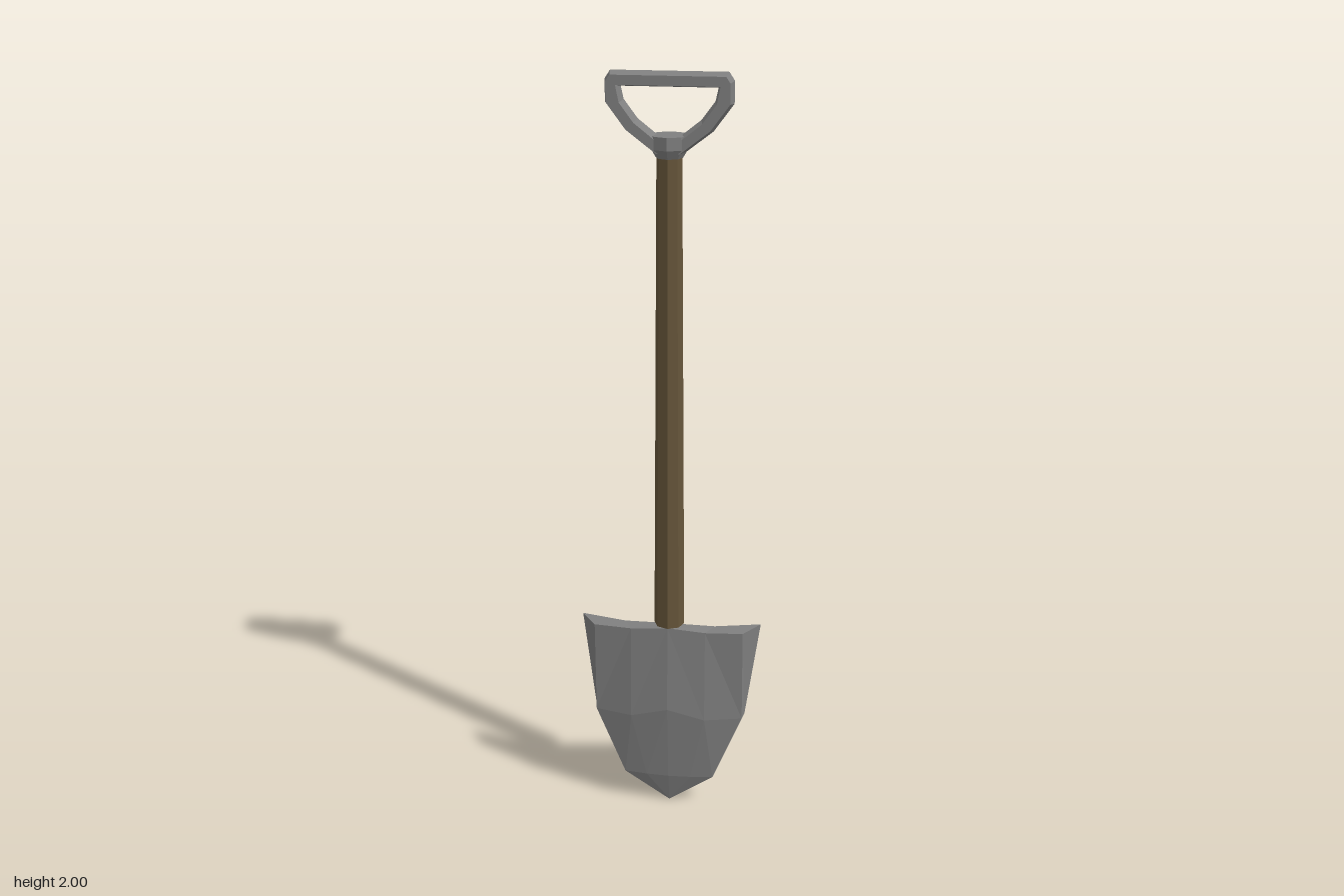
import * as THREE from 'three';

const metal = new THREE.MeshStandardMaterial({ color: 0x808080, flatShading: true });
const wood = new THREE.MeshStandardMaterial({ color: 0x66553a, flatShading: true });

function addPart(group, name, geometry, material) {
  const mesh = new THREE.Mesh(geometry, material);
  mesh.name = name;
  group.add(mesh);
  return mesh;
}

// Closed blade: each row is a ring of five front points and five back points
function bladeGeometry() {
  // front: [half width, z centre, z middle, z edge], back likewise
  const rows = [
    { y: 0.55, rise: 0.01, front: [0.199, 0.036, 0.031, 0.022], back: [0.242, 0.006, -0.011, -0.039] },
    { y: 0.285, rise: 0.03, front: [0.2, 0.045, 0.036, 0.012], back: [0.205, 0.018, 0.006, -0.015] },
    { y: 0.09, rise: 0, front: [0.122, 0.022, 0.019, 0.012], back: [0.124, 0.008, 0.005, 0.003] },
  ];
  const side = ([w, ...z], y, rise) => [-2, -1, 0, 1, 2].map((k) =>
    [w * k / 2, y + (k === 0 ? rise : 0), z[Math.abs(k)]]);
  const rings = rows.map(({ y, rise, front, back }) =>
    [...side(front, y, rise), ...side(back, y, rise).reverse()]);
  const tip = [0, 0, 0];
  const out = [];
  const tri = (...points) => points.forEach((p) => out.push(...p));
  const quad = (a, b, c, d) => { tri(a, b, c); tri(a, c, d); };

  for (let i = 0; i < 10; i++) {
    const j = (i + 1) % 10;
    const rightHalf = i >= 2 && i <= 6;
    for (let r = 0; r < rings.length - 1; r++) {
      const [top, low] = [rings[r], rings[r + 1]];
      // Diagonals mirror across the centre line
      if (rightHalf) quad(low[j], top[j], top[i], low[i]);
      else quad(low[i], low[j], top[j], top[i]);
    }
    const last = rings[rings.length - 1];
    tri(tip, last[j], last[i]);
  }
  // Top rim between the front and back skins
  const rim = rings[0];
  for (let i = 0; i < 4; i++) quad(rim[i], rim[i + 1], rim[8 - i], rim[9 - i]);

  const geometry = new THREE.BufferGeometry();
  geometry.setAttribute('position', new THREE.Float32BufferAttribute(out, 3));
  geometry.computeVertexNormals();
  return geometry;
}

// D-shaped grip with a ridge running around its edge
function gripGeometry() {
  const mirrored = (half) => [...half, ...half.map(([x, y]) => [-x, y]).reverse()]
    .map(([x, y]) => new THREE.Vector2(x, y));
  const shape = new THREE.Shape(mirrored([
    [0.028, 1.813], [0.1, 1.868], [0.146, 1.93], [0.146, 1.978], [0.136, 1.993],
  ]));
  shape.holes.push(new THREE.Path(mirrored([
    [0.03, 1.844], [0.081, 1.884], [0.115, 1.93], [0.123, 1.97],
  ])));
  const geometry = new THREE.ExtrudeGeometry(shape, {
    depth: 0.002, bevelEnabled: true, bevelThickness: 0.032, bevelSize: 0.007, bevelSegments: 1,
  });
  return geometry.translate(0, 0, -0.003);
}

export function createModel() {
  const group = new THREE.Group();
  group.name = 'shovel';

  addPart(group, 'blade', bladeGeometry(), metal);

  // Tapered octagonal shaft
  addPart(group, 'shaft', new THREE.CylinderGeometry(0.031, 0.04, 1.26, 8), wood)
    .position.y = 1.19;

  // Flared socket joining shaft and grip
  addPart(group, 'gripSocketFlare', new THREE.CylinderGeometry(0.046, 0.033, 0.022, 8), metal)
    .position.y = 1.811;
  addPart(group, 'gripSocket', new THREE.CylinderGeometry(0.046, 0.046, 0.031, 8), metal)
    .position.y = 1.8375;

  addPart(group, 'grip', gripGeometry(), metal);
  return group;
}
